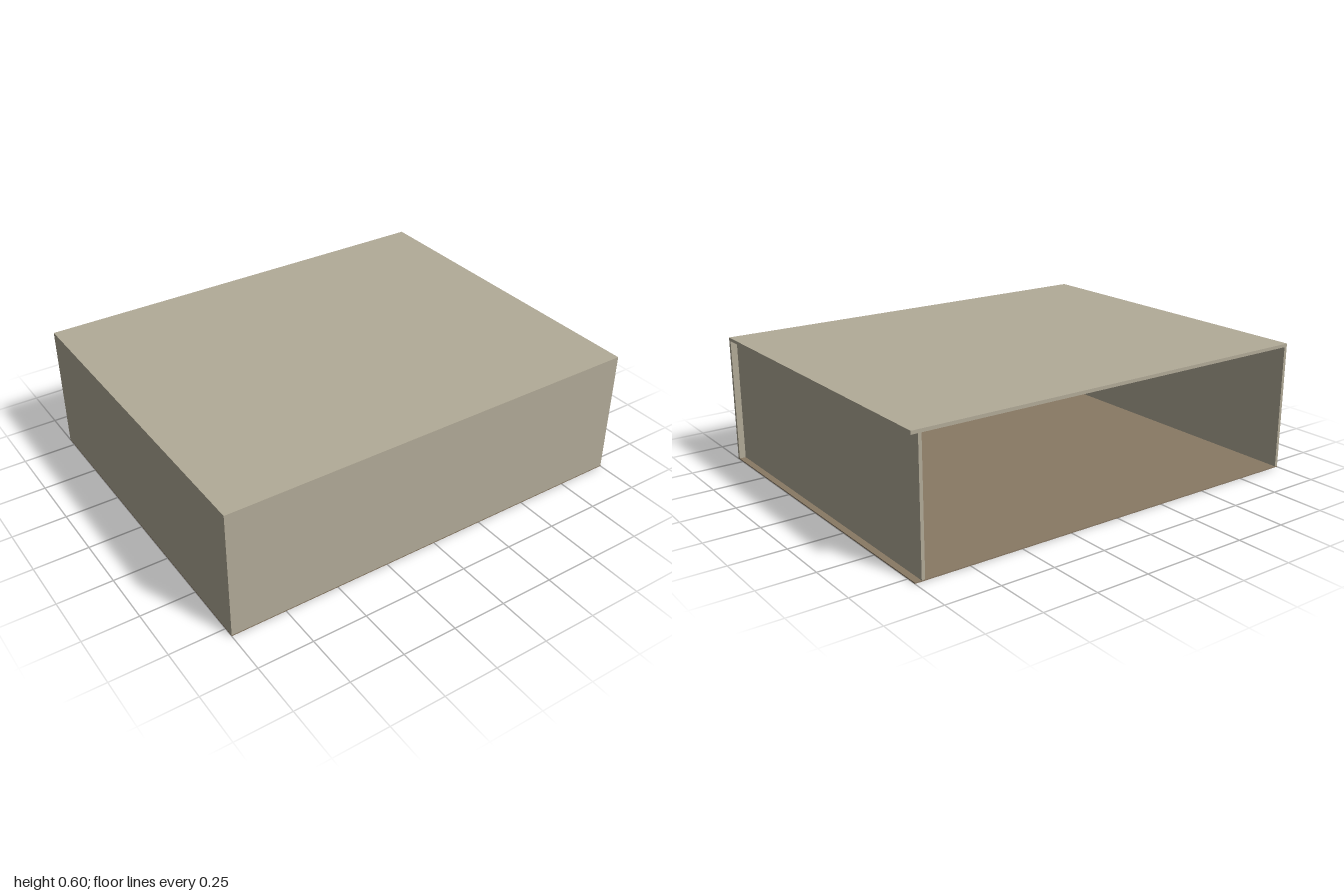
import * as THREE from 'three';

export function createModel() {
  const model = new THREE.Group();
  model.name = 'openBox';

  const panelMat = new THREE.MeshStandardMaterial({ color: 0xb2ab98 });
  panelMat.name = 'warm beige';
  const floorMat = new THREE.MeshStandardMaterial({ color: 0x897964 });
  floorMat.name = 'brown';

  // Box panel given by its minimum and maximum corners
  const panel = (name, mat, [x0, y0, z0], [x1, y1, z1]) => {
    const geo = new THREE.BoxGeometry(x1 - x0, y1 - y0, z1 - z0);
    const mesh = new THREE.Mesh(geo, mat);
    mesh.position.set((x0 + x1) / 2, (y0 + y1) / 2, (z0 + z1) / 2);
    mesh.name = name;
    model.add(mesh);
  };

  const t = 0.015;     // panel thickness
  const base = 0.005;  // floor thickness
  const under = 0.6 - t;
  const inset = 0.97;  // outer face of the recessed left wall

  // Thin floor and full-size lid
  panel('floor', floorMat, [-1, 0, -0.8], [1, base, 0.8]);
  panel('lid', panelMat, [-1, under, -0.8], [1, 0.6, 0.8]);

  // Front panel across the whole width; the back stays open
  panel('frontPanel', panelMat, [-1, base, 0.8 - t], [1, under, 0.8]);

  // Right wall is flush, left wall is set in under the lid
  panel('rightWall', panelMat, [-1, base, -0.8], [-1 + t, under, 0.8 - t]);
  panel('leftWall', panelMat, [inset - t, base, -0.8], [inset, under, 0.8 - t]);

  return model;
}
